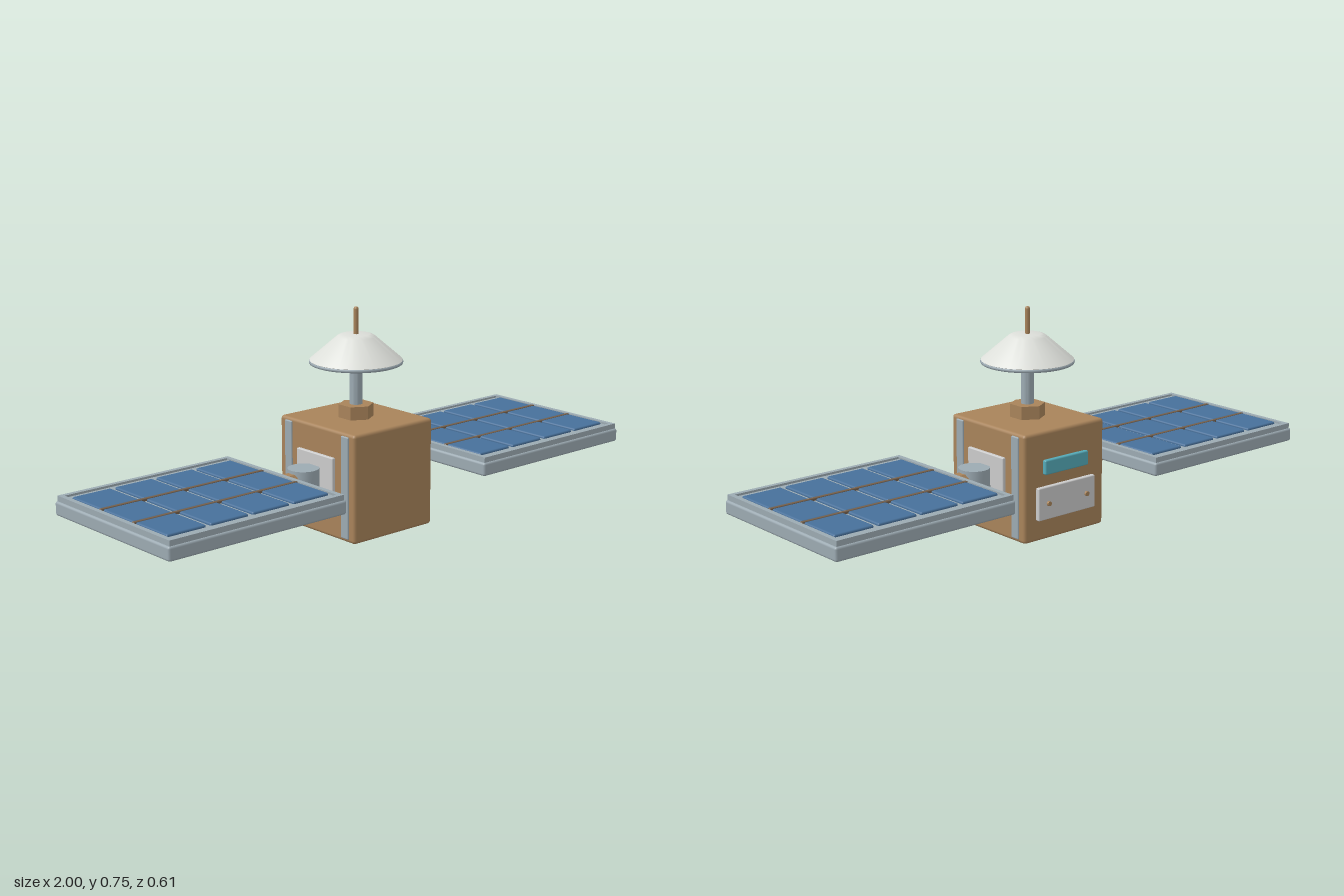
import * as THREE from 'three';
import { RoundedBoxGeometry } from 'three/addons/geometries/RoundedBoxGeometry.js';
import { toCreasedNormals } from 'three/addons/utils/BufferGeometryUtils.js';

const mat = (color) => new THREE.MeshStandardMaterial({ color });
const bronze = mat(0xa8835a), steel = mat(0x9caab2), white = mat(0xdcded9);
const plateGrey = mat(0xc6c9c5), blue = mat(0x47709a), teal = mat(0x55aab8), brown = mat(0x75604c);

function add(parent, name, geometry, material, x = 0, y = 0, z = 0) {
  const mesh = new THREE.Mesh(geometry, material);
  mesh.name = name;
  mesh.position.set(x, y, z);
  parent.add(mesh);
  return mesh;
}
const box = (w, h, d, r = 0.004) => new RoundedBoxGeometry(w, h, d, 2, r);
const cyl = (r, h, sides) => toCreasedNormals(new THREE.CylinderGeometry(r, r, h, sides), 0.6);

// Rectangular ring lying flat, rising from y = 0
function ring(w, d, border, h) {
  const rect = (P, a, b) => new P([[-a, -b], [a, -b], [a, b], [-a, b]].map(([x, y]) => new THREE.Vector2(x, y)));
  const shape = rect(THREE.Shape, w / 2, d / 2);
  shape.holes.push(rect(THREE.Path, w / 2 - border, d / 2 - border));
  return new THREE.ExtrudeGeometry(shape, { depth: h, bevelEnabled: false }).rotateX(-Math.PI / 2);
}

// Solar panel and its joint, on the side s (+1 or -1)
function solarWing(s) {
  const wing = new THREE.Group();
  wing.name = s > 0 ? 'leftWing' : 'rightWing';

  add(wing, 'sidePlate', box(0.02, 0.182, 0.182), plateGrey, s * 0.176, 0.186, 0);
  for (const z of [-0.142, 0.142])
    add(wing, 'sideStrip', box(0.012, 0.348, 0.036), steel, s * 0.174, 0.186, z);
  add(wing, 'hingeDrum', cyl(0.053, 0.098, 20), steel, s * 0.233, 0.186, 0);

  const joint = add(wing, 'hingeJoint', cyl(0.04, 0.06, 8), bronze, s * 0.3, 0.187, 0);
  joint.rotation.set(Math.PI / 8, 0, Math.PI / 2, 'ZXY');
  joint.rotation.set(0, 0, Math.PI / 2);
  joint.geometry.rotateY(Math.PI / 8);

  const cx = s * 0.655;
  add(wing, 'panelBase', box(0.69, 0.047, 0.606, 0.008), steel, cx, 0.1865, 0);
  add(wing, 'panelBed', box(0.66, 0.014, 0.57, 0.002), steel, cx, 0.214, 0);
  add(wing, 'panelRim', ring(0.676, 0.594, 0.017, 0.02), steel, cx, 0.208, 0);
  for (let i = 0; i < 4; i++)
    for (let j = -1; j <= 1; j++)
      add(wing, 'solarCell', box(0.145, 0.014, 0.16, 0.006), blue, cx + (i - 1.5) * 0.161, 0.222, j * 0.172);
  for (const z of [-0.087, 0.087])
    add(wing, 'panelBar', box(0.64, 0.016, 0.012, 0.003), brown, cx, 0.222, z);
  return wing;
}

export function createModel() {
  const model = new THREE.Group();
  model.name = 'satellite';

  add(model, 'body', box(0.35, 0.37, 0.375, 0.011), bronze, 0, 0.185, 0);
  model.add(solarWing(1), solarWing(-1));

  // Antenna mast, dish and spike
  add(model, 'mastCollar', cyl(0.06, 0.05, 6), bronze, 0, 0.39, 0);
  add(model, 'mast', cyl(0.022, 0.16, 20), steel, 0, 0.485, 0);
  const profile = [[0, 0.557], [0.148, 0.557], [0.156, 0.566], [0.065, 0.645], [0.057, 0.65], [0.046, 0.653], [0, 0.653]];
  const dish = new THREE.LatheGeometry(profile.map(([x, y]) => new THREE.Vector2(x, y)), 40);
  add(model, 'dish', toCreasedNormals(dish, 0.6), white);
  const lip = new THREE.TorusGeometry(0.1515, 0.0065, 8, 40).rotateX(Math.PI / 2);
  add(model, 'dishRim', lip, steel, 0, 0.56, 0);
  add(model, 'antennaSpike', new THREE.CapsuleGeometry(0.0085, 0.09, 4, 12), bronze, 0, 0.692, 0);

  // Back window, access panel and its bolts
  add(model, 'backWindow', box(0.19, 0.05, 0.022, 0.005), teal, 0, 0.25, -0.19);
  add(model, 'accessPanel', box(0.25, 0.112, 0.022), plateGrey, 0, 0.129, -0.191);
  for (const x of [-0.084, 0.084])
    add(model, 'bolt', cyl(0.008, 0.014, 12).rotateX(Math.PI / 2), bronze, x, 0.128, -0.203);
  return model;
}
